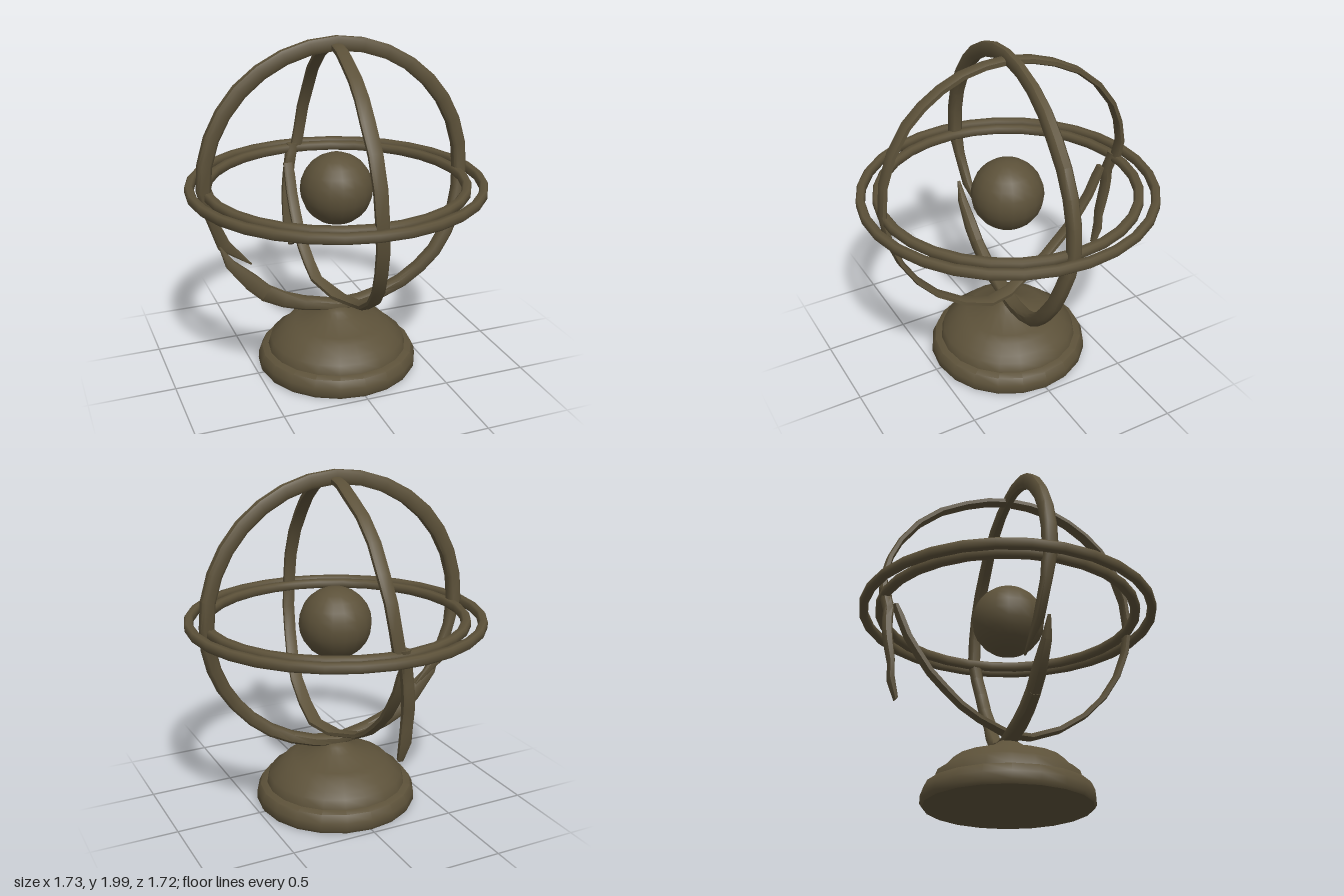
import * as THREE from 'three';
import { mergeVertices, toCreasedNormals } from 'three/addons/utils/BufferGeometryUtils.js';

const X = new THREE.Vector3(1, 0, 0), Y = new THREE.Vector3(0, 1, 0), Z = new THREE.Vector3(0, 0, 1);
const SIDES = 8;

// Sweeps a rounded section along an arc in the plane u, v.
// keys: [angle in degrees, radius, sideways offset, half radial width, half sideways width]
function band(keys, u, v, centreY, step = 12) {
  const w = u.clone().cross(v), pos = [], index = [], rows = [];
  for (let k = 0; k < keys.length - 1; k++) {
    const a = keys[k], b = keys[k + 1];
    const n = Math.max(1, Math.round(Math.abs(b[0] - a[0]) / step));
    for (let i = 0; i < n; i++) rows.push(a.map((q, c) => THREE.MathUtils.lerp(q, b[c], i / n)));
  }
  rows.push(keys[keys.length - 1]);
  const boxy = (q) => Math.sign(q) * Math.abs(q) ** 0.6;
  rows.forEach(([deg, r, off, rh, wh], i) => {
    const t = THREE.MathUtils.degToRad(deg);
    const radial = u.clone().multiplyScalar(Math.cos(t)).addScaledVector(v, Math.sin(t));
    for (let j = 0; j < SIDES; j++) {
      const f = ((j + 0.5) / SIDES) * Math.PI * 2;
      const p = radial.clone().multiplyScalar(r + rh * boxy(Math.cos(f)))
        .addScaledVector(w, off + wh * boxy(Math.sin(f)));
      pos.push(p.x, p.y + centreY, p.z);
      if (i < rows.length - 1) {
        const a = i * SIDES + j, c = i * SIDES + (j + 1) % SIDES;
        index.push(a, a + SIDES, c, c, a + SIDES, c + SIDES);
      }
    }
  });
  // End caps for broken arcs
  if (Math.abs(keys[keys.length - 1][0] - keys[0][0]) < 359) {
    const e = (rows.length - 1) * SIDES;
    for (let j = 1; j < SIDES - 1; j++) index.push(0, j + 1, j, e, e + j, e + j + 1);
  }
  let g = new THREE.BufferGeometry();
  g.setAttribute('position', new THREE.Float32BufferAttribute(pos, 3));
  g.setIndex(index);
  g = mergeVertices(g, 1e-4);
  return toCreasedNormals(g, 0.85);
}

export function createModel() {
  const group = new THREE.Group();
  const bronze = new THREE.MeshStandardMaterial({ color: 0x5c5139, side: THREE.DoubleSide });
  bronze.name = 'aged bronze';
  const add = (name, geometry) => {
    const mesh = new THREE.Mesh(geometry, bronze);
    mesh.name = name;
    group.add(mesh);
    return mesh;
  };

  // Stepped pedestal
  const profile = [[0, 0.01], [0.465, 0.01], [0.478, 0.03], [0.476, 0.075], [0.455, 0.12], [0.415, 0.13],
    [0.4, 0.185], [0.36, 0.21], [0.31, 0.265], [0.255, 0.28], [0.125, 0.33], [0.08, 0.36], [0.06, 0.375], [0, 0.38]];
  add('base', toCreasedNormals(
    new THREE.LatheGeometry(profile.map(([r, y]) => new THREE.Vector2(r, y)), 20), 0.9));

  // Floating globe
  add('globe', new THREE.SphereGeometry(0.212, 18, 12)).position.set(0, 1.122, 0);

  // Two level rings
  const down = Z.clone().negate();
  for (const [name, r, h, rh] of [['outerHorizonRing', 0.84, 0.029, 0.026], ['innerHorizonRing', 0.745, 0.028, 0.028]]) {
    add(name, band([[0, r, 0, rh, h], [360, r, 0, rh, h]], X, down, 1.153, 12)).position.z = -0.004;
  }

  // Upright ring facing the front, torn at its lower right
  add('frontRing', band([
    [236, 0.79, -0.02, 0.05, 0.035], [255, 0.785, -0.01, 0.04, 0.042], [270, 0.795, 0, 0.03, 0.045],
    [300, 0.785, 0.06, 0.038, 0.038], [320, 0.77, 0.095, 0.04, 0.036], [340, 0.762, 0.08, 0.04, 0.036],
    [360, 0.762, 0.04, 0.04, 0.036], [405, 0.767, 0.035, 0.042, 0.036], [450, 0.78, 0, 0.042, 0.026],
    [495, 0.772, -0.045, 0.045, 0.036], [540, 0.768, -0.05, 0.04, 0.04], [552, 0.75, -0.06, 0.03, 0.03],
    [568, 0.745, -0.075, 0.04, 0.025], [585, 0.7, -0.09, 0.004, 0.006],
  ], X, Y, 1.18));
  add('frontRingTornEnd', band([
    [206, 0.77, -0.03, 0.006, 0.008], [215, 0.78, -0.025, 0.03, 0.025],
    [228, 0.775, -0.02, 0.05, 0.035], [237, 0.79, -0.02, 0.05, 0.035],
  ], X, Y, 1.18));

  // Upright ring running front to back, broken at the lower back
  add('sideRing', band([
    [-171, 0.7, 0.07, 0.015, 0.03], [-165, 0.685, 0.07, 0.02, 0.035], [-145, 0.672, 0.075, 0.02, 0.036],
    [-125, 0.69, 0.075, 0.02, 0.036], [-105, 0.735, 0.06, 0.018, 0.036], [-90, 0.755, -0.01, 0.018, 0.045],
    [-78, 0.755, -0.06, 0.018, 0.042], [-50, 0.752, -0.035, 0.017, 0.04], [-25, 0.752, 0.01, 0.017, 0.038],
    [0, 0.755, 0.04, 0.02, 0.038], [40, 0.755, 0.055, 0.018, 0.042], [70, 0.755, 0.035, 0.02, 0.038],
    [90, 0.757, 0, 0.022, 0.036], [110, 0.755, -0.045, 0.02, 0.038], [150, 0.755, -0.055, 0.018, 0.038],
    [172, 0.755, -0.03, 0.02, 0.036], [183, 0.745, 0, 0.025, 0.036],
  ], Z, Y, 1.185));

  // Loose strip hanging from the level rings
  add('hangingFragment', band([
    [180, 0.745, 0.02, 0.03, 0.036], [190, 0.735, 0.05, 0.03, 0.034], [205, 0.795, 0.07, 0.026, 0.036],
    [213, 0.835, 0.075, 0.02, 0.036], [218, 0.885, 0.07, 0.022, 0.036], [225, 0.935, 0.065, 0.014, 0.02],
  ], Z, Y, 1.185, 6));

  return group;
}
